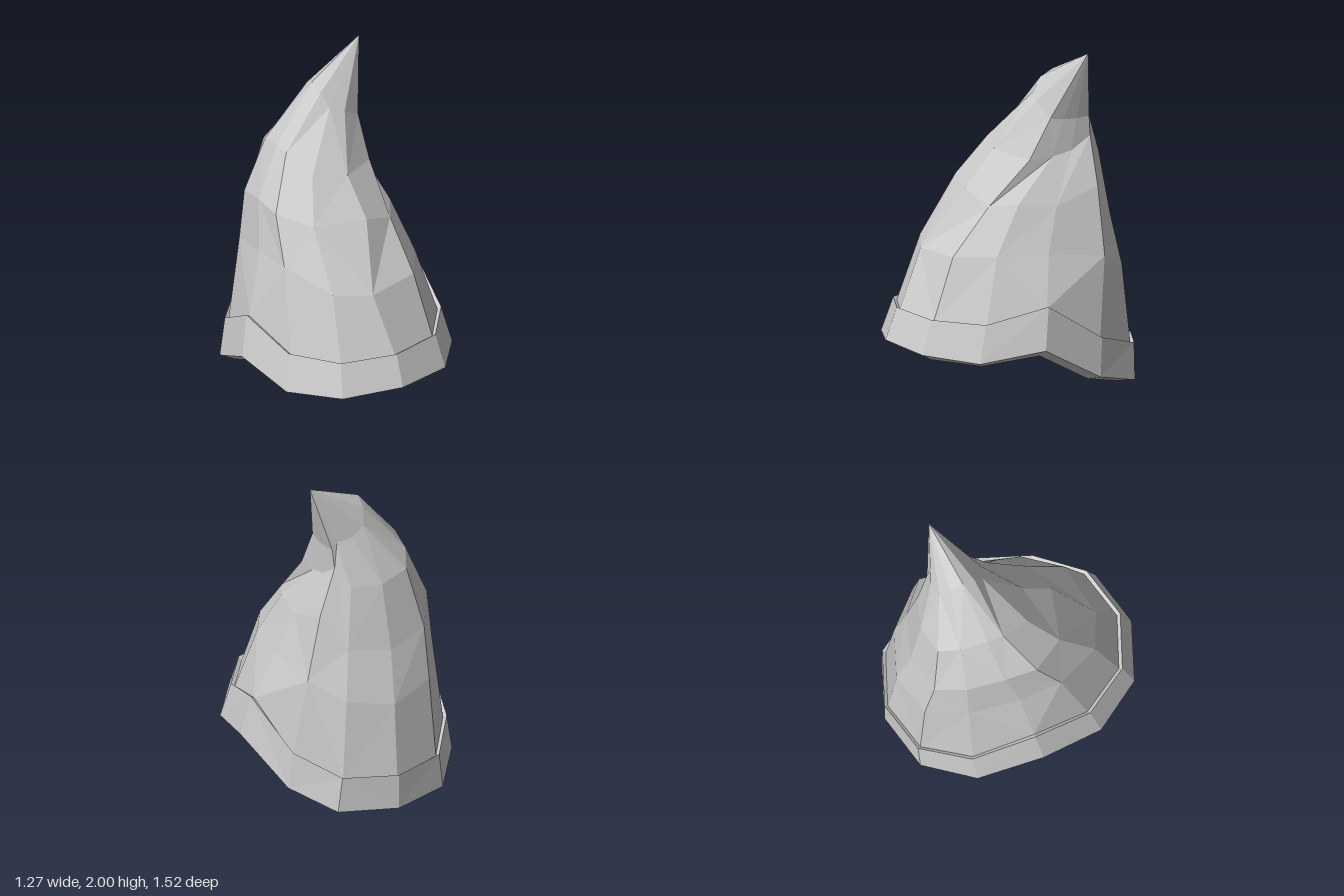
import * as THREE from 'three';

const SIDES = 12;

// Oval ring of points; column 0 faces the front, column 3 the +x side.
// heights is a function of (column, angle); a lower power makes the oval squarer;
// dents moves single columns to hand-set positions for an uneven, crumpled look.
function ring(cx, cz, rx, rz, heights, power = 0.87, dents = {}) {
  return Array.from({ length: SIDES }, (_, i) => {
    if (dents[i]) return new THREE.Vector3(...dents[i]);
    const a = (i / SIDES) * Math.PI * 2;
    const s = Math.sin(a);
    const x = Math.abs(s) < 1e-6 ? 0 : Math.sign(s) * Math.pow(Math.abs(s), power) * rx;
    return new THREE.Vector3(cx + x, heights(i, a), cz + Math.cos(a) * rz);
  });
}

// Heights mirrored left to right, listed from front to back.
const mirrored = (list, offset = 0) => (i) => list[Math.min(i, SIDES - i)] + offset;

// Tilted heights given at the front, back, +x and -x sides.
const tilted = (f, b, r, l) => (i, a) => {
  const c = Math.cos(a), s = Math.sin(a);
  return (c > 0 ? f : b) * c * c + (s > 0 ? r : l) * s * s;
};

// Faceted skin through a list of rings, skipping collapsed triangles at the tip.
function loft(name, rings, material) {
  const pos = [];
  const tri = (a, b, c) => {
    if (a.distanceTo(b) < 1e-5 || b.distanceTo(c) < 1e-5 || c.distanceTo(a) < 1e-5) return;
    for (const p of [a, b, c]) pos.push(p.x, p.y, p.z);
  };
  for (let k = 0; k < rings.length - 1; k++) {
    for (let i = 0; i < SIDES; i++) {
      const j = (i + 1) % SIDES;
      const a = rings[k][i], b = rings[k][j], c = rings[k + 1][j], d = rings[k + 1][i];
      if ((i + k) % 2) { tri(a, b, c); tri(a, c, d); }
      else { tri(a, b, d); tri(b, c, d); }
    }
  }
  const geometry = new THREE.BufferGeometry();
  geometry.setAttribute('position', new THREE.Float32BufferAttribute(pos, 3));
  geometry.computeVertexNormals();
  const mesh = new THREE.Mesh(geometry, material);
  mesh.name = name;
  return mesh;
}

export function createModel() {
  const group = new THREE.Group();
  group.name = 'pointedHat';
  const material = new THREE.MeshStandardMaterial({ color: 0xcccccc, flatShading: true });

  // Edge heights from front to back, arched over the ears
  const topEdge = [0.49, 0.475, 0.465, 0.56, 0.33, 0.24, 0.225];
  const bottomEdge = [0.30, 0.275, 0.245, 0.31, 0.10, 0.022, 0.01];
  const innerEdge = [0.255, 0.235, 0.215, 0.265, 0.08, 0.015, 0.0];

  // Crumpled cone leaning back, its tip curling to the +x side
  const base = ring(0, -0.035, 0.563, 0.705, mirrored(topEdge, -0.015));
  const cone = [
    base,
    ring(-0.01, -0.085, 0.46, 0.605, tilted(0.82, 0.65, 0.84, 0.93), 0.75, {
      0: [-0.06, 0.82, 0.52], 4: [0.43, 0.8, -0.44], 10: [-0.45, 0.95, 0.17],
    }),
    ring(-0.03, -0.165, 0.395, 0.445, tilted(1.18, 0.97, 1.1, 1.23), 0.65, {
      0: [0.04, 1.18, 0.28], 1: [0.24, 1.1, 0.21], 4: [0.34, 1.2, -0.43], 10: [-0.425, 1.23, 0.03],
    }),
    ring(-0.01, -0.22, 0.26, 0.32, tilted(1.39, 1.37, 1.36, 1.52), 0.5, {
      0: [0.02, 1.39, 0.1], 1: [0.25, 1.36, -0.04], 2: [0.25, 1.37, -0.18],
      3: [0.25, 1.4, -0.3], 4: [0.24, 1.48, -0.42], 10: [-0.265, 1.52, -0.12],
    }),
    ring(0.13, -0.275, 0.125, 0.155, tilted(1.68, 1.66, 1.58, 1.84), 0.5, {
      1: [0.25, 1.6, -0.17], 2: [0.255, 1.59, -0.25], 3: [0.255, 1.59, -0.33], 4: [0.25, 1.6, -0.41],
    }),
    ring(0.37, -0.36, 0, 0, () => 2),
  ];
  group.add(loft('hatCone', cone, material));

  // Thick band around the opening, pinched a little at the back on the +x side
  const inner = ring(0, 0.01, 0.555, 0.67, mirrored(innerEdge));
  const outer = ring(0, 0, 0.635, 0.76, mirrored(bottomEdge));
  const top = ring(0, -0.035, 0.585, 0.725, mirrored(topEdge));
  inner[4].x -= 0.03;
  outer[4].x -= 0.035;
  top[4].x -= 0.015;
  group.add(loft('hatBand', [inner, outer, top, base], material));

  // Inside of the band, closing over in a shallow dome
  const lining = [
    ring(0, -0.05, 0, 0, () => 0.78),
    ring(0, -0.03, 0.31, 0.37, mirrored(topEdge, 0.2)),
    ring(0, -0.015, 0.51, 0.61, mirrored(topEdge, -0.045)),
    inner,
  ];
  group.add(loft('lining', lining, material));

  return group;
}
